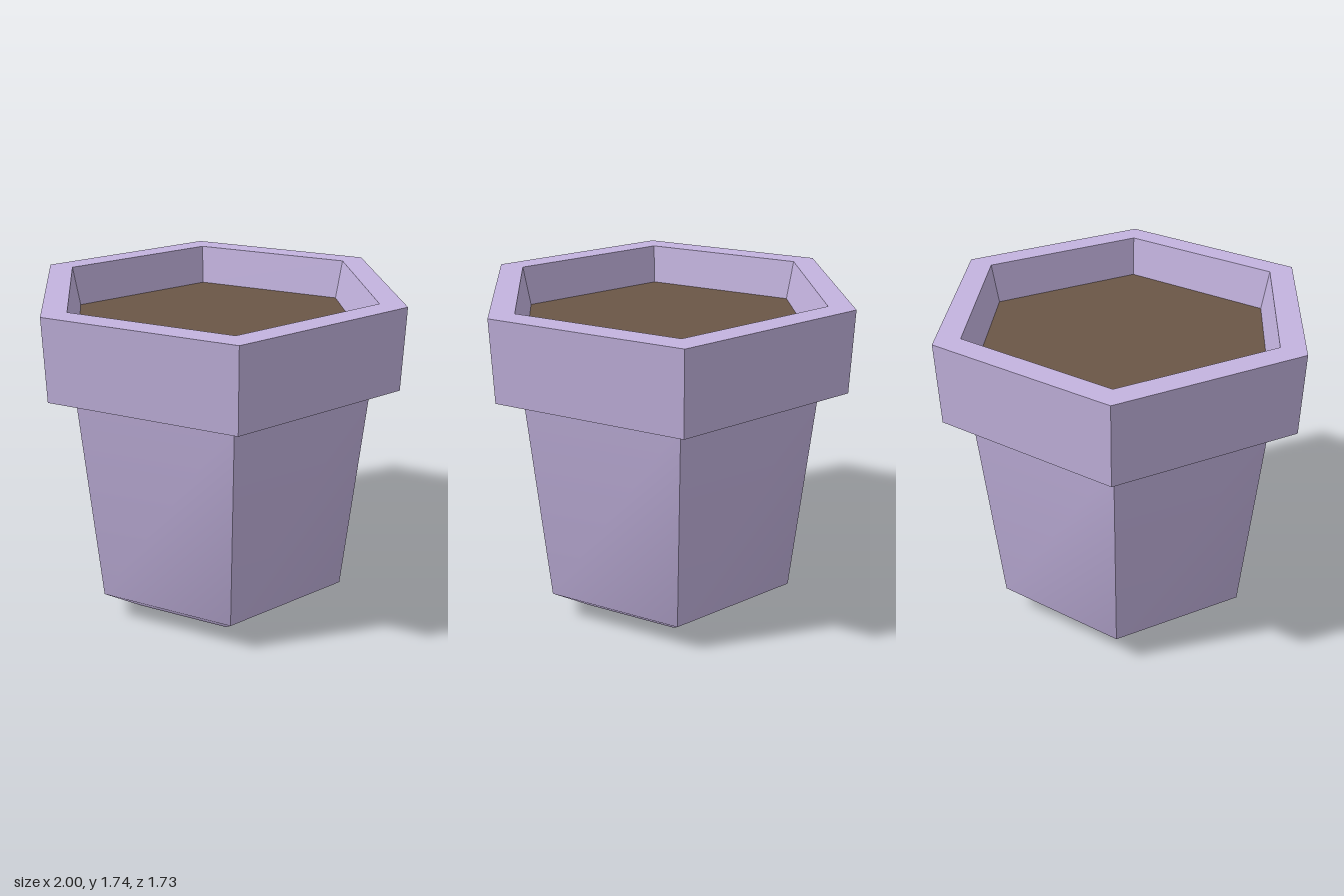
import * as THREE from 'three';
import { mergeGeometries } from 'three/addons/utils/BufferGeometryUtils.js';

const SIDES = 6;

// Six-sided band through [radius, y] points: sharp between sides, smooth along the profile
function hexBand(profile) {
  const panels = [];
  for (let i = 0; i < SIDES; i++) {
    const a0 = (i / SIDES) * Math.PI * 2;
    const a1 = ((i + 1) / SIDES) * Math.PI * 2;
    const positions = [];
    const index = [];
    profile.forEach(([r, y], j) => {
      positions.push(r * Math.cos(a0), y, r * Math.sin(a0));
      positions.push(r * Math.cos(a1), y, r * Math.sin(a1));
      if (j > 0) {
        const lo = 2 * (j - 1), hi = 2 * j;
        index.push(lo + 1, lo, hi, lo + 1, hi, hi + 1);
      }
    });
    const panel = new THREE.BufferGeometry();
    panel.setAttribute('position', new THREE.Float32BufferAttribute(positions, 3));
    panel.setIndex(index);
    panel.computeVertexNormals();
    panels.push(panel);
  }
  return mergeGeometries(panels);
}

// Flat hexagon facing up (dir = 1) or down (dir = -1)
function hexDisc(radius, y, dir) {
  return new THREE.CircleGeometry(radius, SIDES).rotateX(-dir * Math.PI / 2).translate(0, y, 0);
}

export function createModel() {
  const lilac = new THREE.MeshStandardMaterial({ color: 0xc3b3df });
  lilac.name = 'lilac clay';
  const brown = new THREE.MeshStandardMaterial({ color: 0x6b5646 });
  brown.name = 'brown soil';

  const pot = new THREE.Group();
  pot.name = 'flowerPot';
  const add = (name, geometry, material) => {
    const mesh = new THREE.Mesh(geometry, material);
    mesh.name = name;
    pot.add(mesh);
  };

  // Tapered body with a chamfered foot
  add('base', hexDisc(0.51, 0, -1), lilac);
  add('body', hexBand([[0.51, 0], [0.735, 0.155], [0.842, 1.31]]), lilac);

  // Overhanging collar
  add('rimUnderside', hexBand([[0.842, 1.31], [0.99, 1.31]]), lilac);
  add('rimOuter', hexBand([[0.99, 1.31], [1, 1.735]]), lilac);
  add('rimTop', hexBand([[1, 1.735], [0.86, 1.735]]), lilac);
  add('rimInner', hexBand([[0.86, 1.735], [0.82, 1.53]]), lilac);

  // Soil filling the pot
  add('soil', hexDisc(0.82, 1.53, 1), brown);

  return pot;
}
